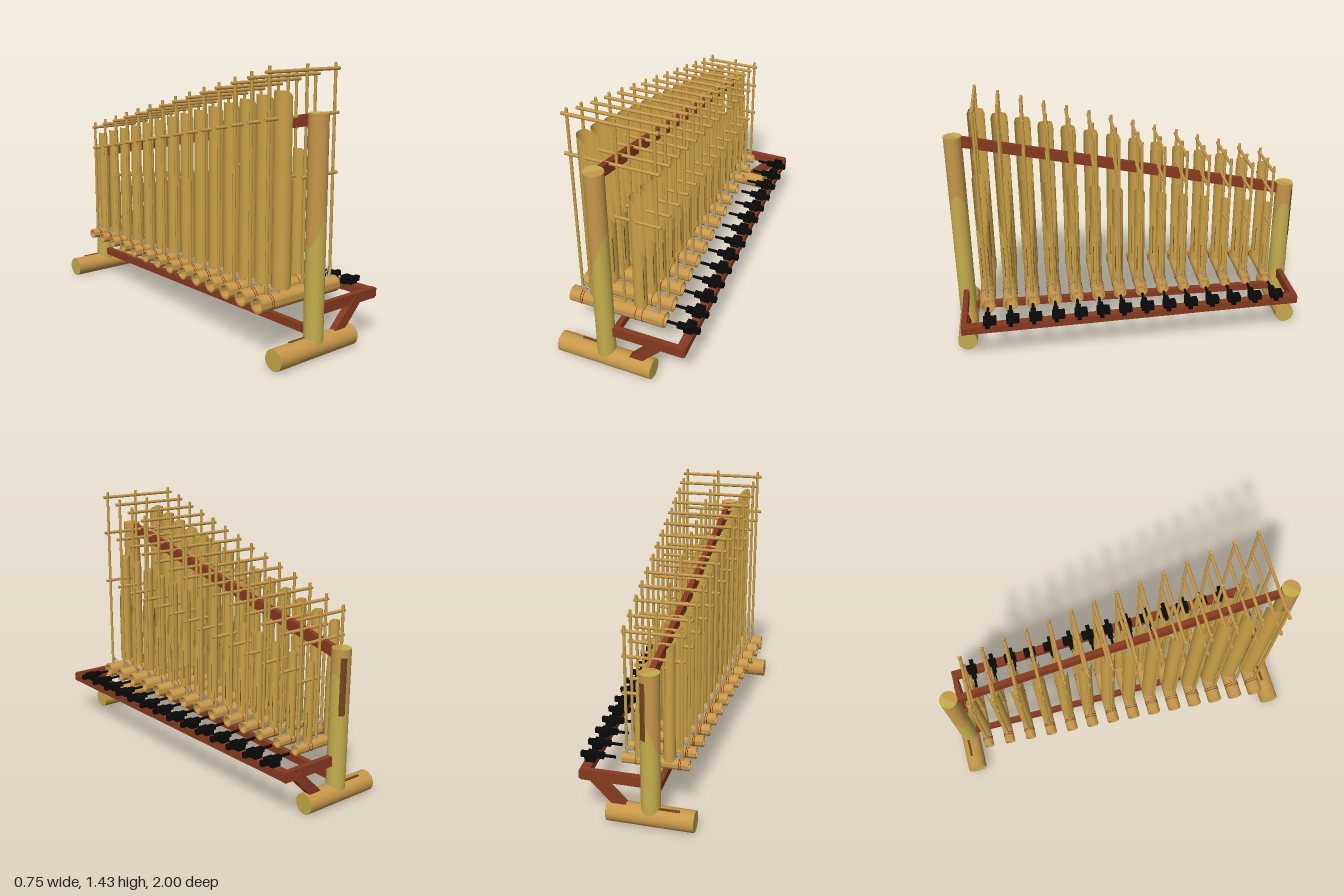
import * as THREE from 'three';
import { toCreasedNormals } from 'three/addons/utils/BufferGeometryUtils.js';

const mat = (name, color, side = THREE.FrontSide) => {
  const m = new THREE.MeshStandardMaterial({ color, side });
  m.name = name;
  return m;
};

export function createModel() {
  const tan = mat('tan bamboo', 0xc6984a);
  const olive = mat('olive bamboo', 0xc4ae4c, THREE.DoubleSide);
  const gold = mat('golden bamboo', 0xc9a046, THREE.DoubleSide);
  const rust = mat('red brown wood', 0x863a20);
  const brown = mat('dark brown patch', 0x70461a);
  const black = mat('black plastic', 0x080808);
  const grey = mat('grey string', 0xb6b8bc);
  const red = mat('red cord', 0x8a2c12);

  const model = new THREE.Group();
  model.name = 'bambooRattleRack';
  const V = (x, y, z) => new THREE.Vector3(x, y, z);
  const lerp = THREE.MathUtils.lerp;

  const add = (parent, name, geometry, material, x = 0, y = 0, z = 0) => {
    const m = new THREE.Mesh(geometry, material);
    m.name = name;
    m.position.set(x, y, z);
    parent.add(m);
    return m;
  };
  // round rod between two points
  const rod = (parent, name, a, b, r, material, sides = 8) => {
    const m = add(parent, name, new THREE.CylinderGeometry(r, r, a.distanceTo(b), sides), material);
    m.position.copy(a).lerp(b, 0.5);
    m.quaternion.setFromUnitVectors(V(0, 1, 0), b.clone().sub(a).normalize());
    return m;
  };
  // squared timber between two points
  const beam = (name, a, b, w, h) => {
    const m = add(model, name, new THREE.BoxGeometry(w, h, a.distanceTo(b)), rust);
    m.position.copy(a).lerp(b, 0.5);
    m.lookAt(b);
    return m;
  };
  // curved plate lying on an upright cylinder
  const arc = (r, h, start, span) => new THREE.CylinderGeometry(r, r, h, 10, 1, true, start, span);

  // cylinder section whose top or bottom edge is slanted along x
  const slantedCylinder = (r, y0, y1, slope0, slope1) => {
    const g = new THREE.CylinderGeometry(r, r, 1, 32, 1);
    const p = g.attributes.position;
    for (let i = 0; i < p.count; i++) {
      const x = p.getX(i);
      p.setY(i, p.getY(i) < 0 ? y0 + slope0 * x : y1 + slope1 * x);
    }
    return g;
  };

  // hollow pipe lying along x
  const pipe = (r, inner, length) => {
    const s = new THREE.Shape().absarc(0, 0, r, 0, Math.PI * 2);
    s.holes.push(new THREE.Path().absarc(0, 0, inner, 0, Math.PI * 2, true));
    const g = new THREE.ExtrudeGeometry(s, { depth: length, bevelEnabled: false, curveSegments: 14 });
    g.translate(0, 0, -length / 2);
    g.rotateY(Math.PI / 2);
    return toCreasedNormals(g, 0.8);
  };

  // sounding tube: closed below the cut, an open tongue with a rounded tip on the -x side above it
  const soundTube = (r, y0, y1, cut) => {
    const g = new THREE.CylinderGeometry(r, r, 1, 24, 60, true);
    const p = g.attributes.position, uv = g.attributes.uv, n = g.attributes.normal;
    const width = 0.2 * (y1 - y0);
    for (let i = 0; i < p.count; i++) {
      const y = lerp(y0, y1, uv.getY(i));
      const open = THREE.MathUtils.clamp((y - cut) / width, 0, 1);
      const tip = Math.max(0, 1 - (y1 - y) / (r * 0.7));
      const half = Math.PI * (1 - 0.42 * Math.sqrt(open) - 0.27 * tip * tip);
      const t = -Math.PI / 2 + (uv.getX(i) - 0.5) * 2 * half;
      p.setXYZ(i, r * Math.sin(t), y, r * Math.cos(t));
      n.setXYZ(i, Math.sin(t), 0, Math.cos(t));
    }
    return g;
  };

  // end stands: foot log, post, arm and brace
  const stands = [
    { side: 'front', z: 0.945, h: 1.21, x0: -0.375, x1: 0.165, split: 0.72, arm: 0.34, brace: 0.045 },
    { side: 'back', z: -0.945, h: 0.83, x0: -0.33, x1: 0.115, split: 0.56, arm: 0.255, brace: 0.03 },
  ];
  for (const s of stands) {
    rod(model, s.side + 'Foot', V(s.x0, 0.055, s.z), V(s.x1, 0.055, s.z), 0.055, tan, 32);
    for (const [x, dir] of [[s.x0, -1], [s.x1, 1]]) {
      const cap = add(model, s.side + 'FootEnd', new THREE.CircleGeometry(0.054, 32), olive, x + dir * 0.001, 0.055, s.z);
      cap.rotation.y = dir * Math.PI / 2;
    }
    add(model, s.side + 'FootStreak', new THREE.BoxGeometry(0.11, 0.006, 0.014), brown, -0.2, 0.108, s.z - 0.015);
    add(model, s.side + 'PostLower', slantedCylinder(0.05, 0.08, s.split, 0, 3), olive, -0.105, 0, s.z);
    add(model, s.side + 'PostUpper', slantedCylinder(0.05, s.split, s.h, 3, 0), tan, -0.105, 0, s.z);
    const lid = add(model, s.side + 'PostTop', new THREE.CircleGeometry(0.0495, 32, 0.8, Math.PI), olive, -0.105, s.h + 0.001, s.z);
    lid.rotation.x = -Math.PI / 2;
    beam(s.side + 'Arm', V(-0.1, 0.242, s.z), V(s.arm, 0.242, s.z), 0.03, 0.055);
    beam(s.side + 'Brace', V(s.brace, 0.08, s.z), V(s.brace + 0.15, 0.235, s.z), 0.038, 0.055);
  }
  // stains on the back post and the front foot
  add(model, 'backPostPatch', arc(0.0512, 0.3, 2.3, 0.65), brown, -0.105, 0.64, -0.945);
  const stain = add(model, 'frontFootPatch', arc(0.0557, 0.12, -1.1, 0.75), olive, -0.3, 0.055, 0.945);
  stain.rotation.z = Math.PI / 2;

  // long rails
  beam('topRail', V(-0.105, 1.178, 0.91), V(-0.105, 0.797, -0.91), 0.03, 0.058);
  beam('lowerRail', V(-0.105, 0.133, 0.91), V(-0.105, 0.133, -0.91), 0.03, 0.042);
  beam('keyRail', V(0.323, 0.242, 0.96), V(0.236, 0.242, -0.96), 0.05, 0.043);

  // fourteen rattles shrinking towards the back
  const COUNT = 14;
  for (let i = 0; i < COUNT; i++) {
    const t = i / (COUNT - 1);
    const z = lerp(0.815, -0.825, t);
    const unit = new THREE.Group();
    unit.name = 'rattle' + (i + 1);
    unit.position.z = z;
    model.add(unit);

    const length = lerp(0.545, 0.345, t), cx = lerp(-0.0925, -0.098, t);
    const X = (f) => cx + f * length;
    const logR = lerp(0.043, 0.028, t), logY = 0.291;
    const top = lerp(1.43, 1.0, t), base = lerp(0.35, 0.31, t);
    const Y = (f) => lerp(base, top, f);

    // base log with cord bindings
    add(unit, 'baseLog', pipe(logR, logR * 0.76, length), tan, cx, logY, 0);
    for (const f of [-0.38, -0.355, 0.21, 0.28]) {
      const cord = add(unit, 'cord', new THREE.TorusGeometry(logR, 0.0018, 5, 20), red, X(f), logY, 0);
      cord.rotation.y = Math.PI / 2;
    }

    // stick frame
    const sticks = [-0.385, 0.07, 0.436];
    for (const f of sticks) rod(unit, 'uprightStick', V(X(f), logY, 0), V(X(f), top, 0), 0.008, gold);
    const bars = [[-0.435, 0.48, top - 0.03], [-0.435, 0.48, Y(0.77)], [0.02, 0.48, Y(0.49)]];
    for (const [a, b, y] of bars) rod(unit, 'crossBar', V(X(a), y, 0.004), V(X(b), y, 0.004), 0.009, tan);

    // string lashings at the outer sticks
    for (const [f, dir] of [[-0.385, 1], [0.436, -1]]) {
      for (let k = 0; k < 4; k++) {
        const dz = k % 2 ? 0.011 : -0.011;
        rod(unit, 'lashing', V(X(f), logY + logR + 0.06 - k * 0.008, dz * 0.8),
          V(X(f) + dir * (0.015 + k * 0.012), logY + logR - 0.004, dz), 0.002, grey, 5);
      }
    }

    // tall and short sounding tubes
    const tubes = [
      ['tallTube', -0.206, lerp(0.048, 0.03, t), lerp(1.315, 0.93, t), lerp(0.74, 0.57, t)],
      ['shortTube', 0.243, lerp(0.036, 0.024, t), lerp(1.025, 0.74, t), lerp(0.68, 0.53, t)],
    ];
    for (const [name, f, r, y1, cut] of tubes) {
      add(unit, name, soundTube(r, base, y1, cut), gold, X(f), 0, 0);
      // weathered streaks along the closed part
      const h = (cut - base) * 0.6;
      for (const a of [0.95, 2.1]) {
        add(unit, name + 'Streak', arc(r + 0.0008, h, a, 0.12), brown, X(f), base + h * 0.8, 0);
      }
      const floor = add(unit, name + 'Floor', new THREE.CircleGeometry(r, 24), gold, X(f), base, 0);
      floor.rotation.x = Math.PI / 2;
      // short pegs resting in the log
      for (const d of [-0.6, 0.6]) {
        add(unit, name + 'Peg', new THREE.BoxGeometry(0.01, 0.05, r * 0.8), gold, X(f) + d * r, base - 0.015, 0);
      }
    }

    // black shaker on the key rail
    const kx = lerp(0.316, 0.242, t);
    const shaker = new THREE.Group();
    shaker.name = 'shaker';
    shaker.position.set(kx, 0.28, 0);
    unit.add(shaker);
    add(shaker, 'shakerBody', new THREE.BoxGeometry(0.05, 0.036, 0.072), black, -0.005, 0, -0.012);
    add(shaker, 'shakerNose', new THREE.BoxGeometry(0.035, 0.028, 0.024), black, 0.037, 0, 0);
    add(shaker, 'shakerCollar', new THREE.BoxGeometry(0.04, 0.026, 0.03), black, -0.05, 0.003, 0);
    rod(shaker, 'shakerRod', V(-0.13, 0.004, 0), V(-0.02, 0.004, 0), 0.008, black);
  }
  return model;
}
